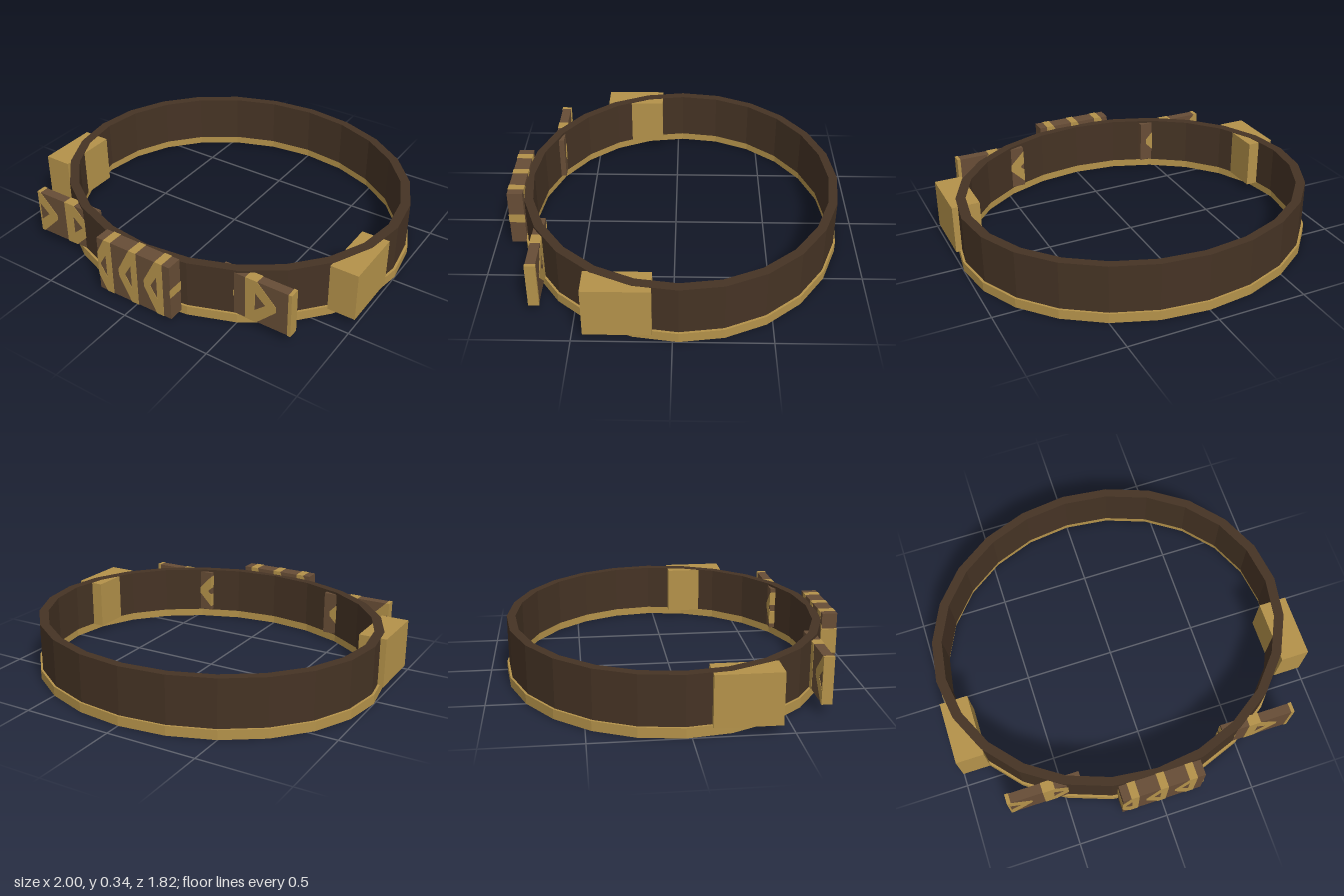
import * as THREE from 'three';

const CENTRE_Z = -0.029;
const DEPTH_RATIO = 0.882; // the band is a slightly flattened circle

const mat = (name, color, flatShading = true) => {
  const m = new THREE.MeshStandardMaterial({ color, flatShading });
  m.name = name;
  return m;
};

// Oval hoop with a rectangular section and 24 facets
function hoop(name, inner, outer, y0, y1, material) {
  const profile = [[outer, y0], [outer, y1], [inner, y1], [inner, y0], [outer, y0]]
    .map(([r, y]) => new THREE.Vector2(r, y));
  const mesh = new THREE.Mesh(new THREE.LatheGeometry(profile, 24), material);
  mesh.scale.z = DEPTH_RATIO;
  mesh.position.z = CENTRE_Z;
  mesh.name = name;
  return mesh;
}

function box(name, [x0, x1], [y0, y1], [z0, z1], material) {
  const mesh = new THREE.Mesh(new THREE.BoxGeometry(x1 - x0, y1 - y0, z1 - z0), material);
  mesh.position.set((x0 + x1) / 2, (y0 + y1) / 2, (z0 + z1) / 2);
  mesh.name = name;
  return mesh;
}

// Cut a convex polygon with the vertical line x = limit, keeping one side
function clip(points, limit, sign) {
  const out = [];
  points.forEach((a, i) => {
    const b = points[(i + 1) % points.length];
    const da = sign * (a[0] - limit), db = sign * (b[0] - limit);
    if (da >= 0) out.push(a);
    if (da * db < 0) {
      const t = da / (da - db);
      out.push([limit, a[1] + (b[1] - a[1]) * t]);
    }
  });
  return out;
}

// One repeat of the ornament: an upright bar with two arms meeting in a point
const ARM = [[0.03, 0.125], [0.03, 0.075], [0.115, 0], [0.175, 0], [0.175, 0.015], [0.065, 0.125]];
const MOTIF = [
  [[0, -0.125], [0.055, -0.125], [0.055, 0.125], [0, 0.125]],
  ARM,
  ARM.map(([x, y]) => [x, -y]),
];
const PERIOD = 0.24;

// Brown plate with the ornament inlaid right through it
function ornatePlate(name, xs, ys, zs, start, scaleX, mats) {
  const group = new THREE.Group();
  group.name = name;
  group.add(box('plateBody', xs, ys, zs, mats.plate));
  const lip = 0.002;
  const midY = (ys[0] + ys[1]) / 2;
  const scaleY = (ys[1] - ys[0] + 2 * lip) / 0.25;
  const shapes = [];
  for (let i = -3; i <= 3; i++) {
    for (const part of MOTIF) {
      let pts = part.map(([x, y]) => [start + (x + i * PERIOD) * scaleX, midY + y * scaleY]);
      pts = clip(clip(pts, xs[0] - lip, 1), xs[1] + lip, -1);
      if (pts.length > 2) shapes.push(new THREE.Shape(pts.map(([x, y]) => new THREE.Vector2(x, y))));
    }
  }
  const inlay = new THREE.Mesh(
    new THREE.ExtrudeGeometry(shapes, { depth: zs[1] - zs[0] + 2 * lip, bevelEnabled: false }),
    mats.gold);
  inlay.position.z = zs[0] - lip;
  inlay.name = 'chevronInlay';
  group.add(inlay);
  return group;
}

export function createModel() {
  const model = new THREE.Group();
  model.name = 'circlet';
  const mats = {
    band: mat('dark brown', 0x453324),
    plate: mat('brown', 0x674d36),
    gold: mat('gold', 0xb4924a),
  };

  // Main band and the gold rim beneath it
  model.add(hoop('band', 0.932, 0.986, 0.048, 0.317, mats.band));
  model.add(hoop('lowerRim', 0.942, 0.999, 0, 0.053, mats.gold));

  // Gold blocks on both sides
  for (const [name, xs] of [['leftSideBlock', [0.847, 1]], ['rightSideBlock', [-1, -0.847]]]) {
    model.add(box(name, xs, [0.044, 0.315], [0.1, 0.44], mats.gold));
  }

  // Ornamented plates: a large one in the middle and one on either side
  model.add(ornatePlate('centrePlate', [-0.227, 0.227], [0.019, 0.338], [0.826, 0.91], 0.022, -0.667, mats));
  model.add(ornatePlate('leftPlate', [0.398, 0.802], [0.055, 0.304], [0.677, 0.729], 0.545, 1, mats));
  model.add(ornatePlate('rightPlate', [-0.802, -0.398], [0.055, 0.304], [0.677, 0.729], -0.61, 1, mats));

  return model;
}
